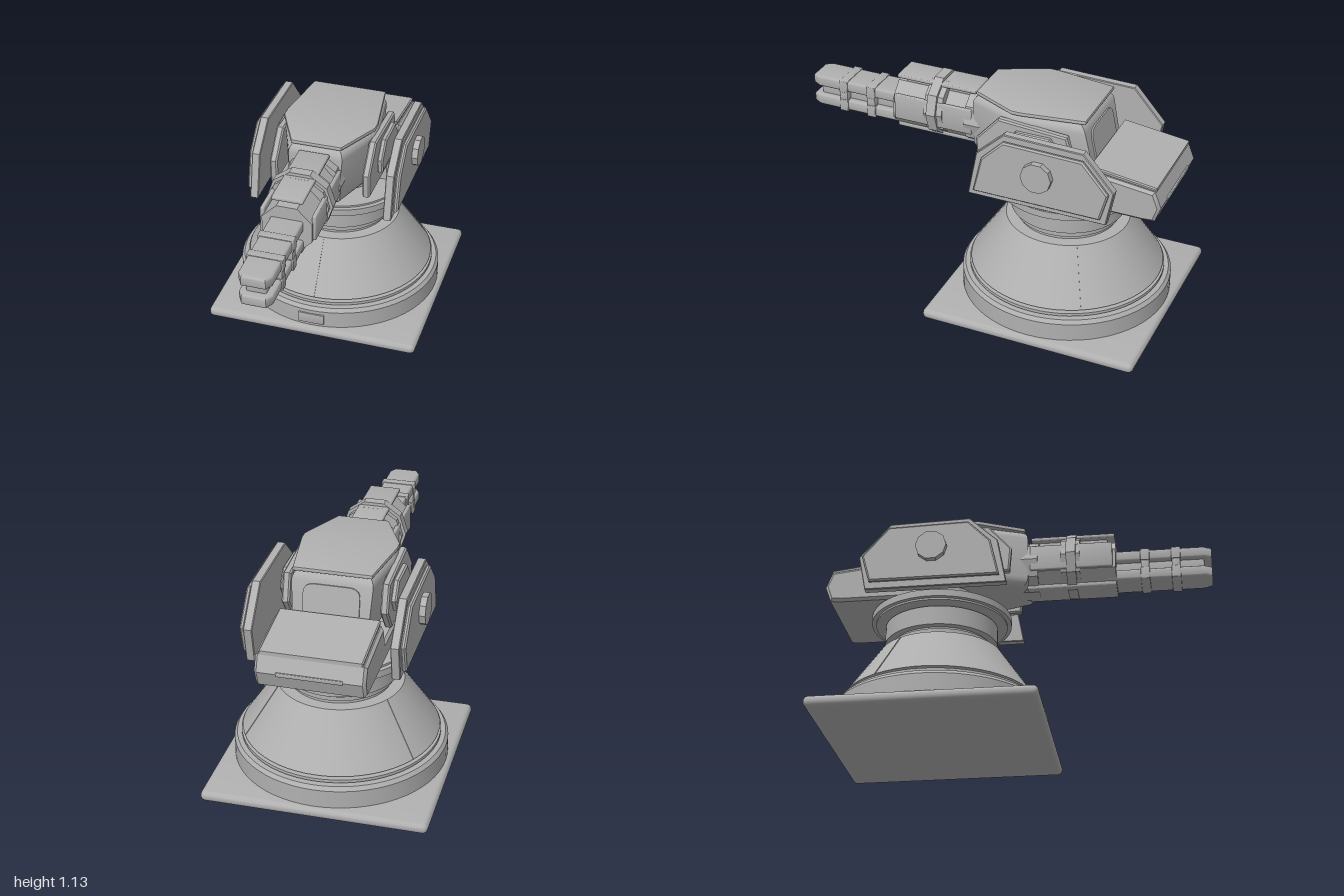
import * as THREE from 'three';
import { toCreasedNormals } from 'three/addons/utils/BufferGeometryUtils.js';
import { RoundedBoxGeometry } from 'three/addons/geometries/RoundedBoxGeometry.js';

const AXIS_Z = -0.42; // turning axis of the turret

export function createModel() {
  const model = new THREE.Group();
  model.name = 'turret';
  const steel = new THREE.MeshStandardMaterial({ color: 0xb0b0b0 });
  steel.name = 'steel grey';

  const add = (name, geometry) => {
    const mesh = new THREE.Mesh(toCreasedNormals(geometry, 0.6), steel);
    mesh.name = name;
    model.add(mesh);
    return mesh;
  };
  // box given by its limits on each axis
  const block = (name, [x0, x1], [y0, y1], [z0, z1], r = 0.008) => add(name,
    new RoundedBoxGeometry(x1 - x0, y1 - y0, z1 - z0, 2, r)
      .translate((x0 + x1) / 2, (y0 + y1) / 2, (z0 + z1) / 2));
  const prism = (points, depth, bevel, segments = 1) => new THREE.ExtrudeGeometry(
    new THREE.Shape(points.map(([a, b]) => new THREE.Vector2(a, b))), {
      depth: depth - 2 * bevel, bevelEnabled: bevel > 0, bevelSize: bevel,
      bevelThickness: bevel, bevelOffset: -bevel, bevelSegments: segments,
    }).translate(0, 0, bevel);
  // side outline of [z, y] points, thick along x
  const sidePlate = (name, points, x0, x1, bevel = 0.006) =>
    add(name, prism(points, x1 - x0, bevel).rotateY(-Math.PI / 2).translate(x1, 0, 0));
  // plan outline of [x, z] points (right half mirrored), thick along y
  const planGeometry = (half, y0, y1, bevel, segments) => {
    const outline = [...half, ...half.map(([x, z]) => [-x, z]).reverse()];
    return prism(outline, y1 - y0, bevel, segments).rotateX(Math.PI / 2).translate(0, y1, 0);
  };
  const lathe = (name, profile) => add(name, new THREE.LatheGeometry(
    profile.map(([r, y]) => new THREE.Vector2(r, y)), 64).translate(0, 0, AXIS_Z));
  // barrel-aligned polygonal tube section
  const drum = (name, r, y, z0, z1, sides) => add(name,
    new THREE.CylinderGeometry(r, r, z1 - z0, sides)
      .rotateY(Math.PI / sides).rotateX(Math.PI / 2).translate(0, y, (z0 + z1) / 2));

  // Pedestal
  block('basePlate', [-0.57, 0.57], [0, 0.055], [-0.99, 0.15], 0.026);
  lathe('basePedestal', [
    [0, 0.05], [0.542, 0.05], [0.542, 0.15], [0.528, 0.17], [0.45, 0.17], [0.45, 0.176],
    [0.505, 0.176], [0.505, 0.192], [0.43, 0.192], [0.43, 0.207], [0.498, 0.207],
    [0.318, 0.472], [0.257, 0.472], [0.257, 0.492], [0.27, 0.492], [0.27, 0.513],
    [0.255, 0.513], [0.255, 0.528], [0.293, 0.528], [0.293, 0.628], [0.2, 0.628],
    [0.2, 0.66], [0, 0.66]]);
  lathe('turntable', [
    [0, 0.64], [0.343, 0.64], [0.343, 0.65], [0.365, 0.65], [0.365, 0.687],
    [0.342, 0.687], [0.342, 0.697], [0, 0.697]]);
  block('baseHatch', [-0.07, 0.07], [0.07, 0.13], [0.11, 0.128], 0.003);
  // seams running down the cone
  for (let i = 0; i < 3; i++) {
    const seam = new THREE.BoxGeometry(0.006, 0.318, 0.004)
      .rotateX(-Math.atan2(0.18, 0.265)).translate(0, 0.34, 0.4085)
      .rotateY(i * Math.PI * 2 / 3).translate(0, 0, AXIS_Z);
    add('coneSeam', seam);
  }

  // Head: rounded wedge with a leaning rear face
  const head = planGeometry([[0.2, -0.63], [0.238, -0.3], [0.238, -0.2], [0.14, 0.05]], 0.795, 1.115, 0.05, 5);
  const p = head.attributes.position;
  for (let i = 0; i < p.count; i++) {
    const t = (p.getY(i) - 0.795) / 0.32;
    if (p.getZ(i) < -0.4) p.setZ(i, p.getZ(i) + 0.07 * t);
    p.setX(i, p.getX(i) * (0.9 + 0.1 * Math.min(1, t * 2)));
  }
  head.computeVertexNormals();
  add('head', head);
  add('roofPlate', planGeometry([[0.195, -0.57], [0.243, -0.25], [0.243, -0.2], [0.13, 0.035]], 1.111, 1.134, 0.009, 2));
  lathe('headPivot', [[0.19, 0.69], [0.19, 0.82]]);

  // Arched panel on the rear of the head
  const arch = new THREE.Shape();
  arch.moveTo(-0.14, -0.12).lineTo(0.14, -0.12).lineTo(0.14, 0.05)
    .quadraticCurveTo(0.14, 0.1, 0.08, 0.1).lineTo(-0.08, 0.1)
    .quadraticCurveTo(-0.14, 0.1, -0.14, 0.05);
  const rearPanel = add('rearPanel', new THREE.ExtrudeGeometry(arch, { depth: 0.012, bevelEnabled: false }));
  rearPanel.rotation.set(-0.21, Math.PI, 0, 'YXZ');
  rearPanel.position.set(0, 0.96, -0.59);

  // Counterweight behind the head
  sidePlate('counterweight', [
    [-0.4, 0.7], [-0.4, 0.8], [-0.6, 0.8], [-0.63, 0.905], [-0.955, 0.868],
    [-0.988, 0.785], [-0.96, 0.705], [-0.9, 0.7]], -0.268, 0.268, 0.014);
  sidePlate('counterweightLid', [
    [-0.62, 0.905], [-0.62, 0.928], [-0.96, 0.885], [-0.96, 0.865]], -0.25, 0.25, 0.006);
  block('rearSlot', [-0.16, 0.16], [0.775, 0.795], [-0.992, -0.975], 0.003);

  // Armour, hub and cheek plates on both sides
  const armour = [[-0.03, 0.7], [-0.075, 0.94], [-0.22, 1.075], [-0.63, 1.065], [-0.79, 0.885], [-0.755, 0.7]];
  const outer = [[-0.065, 0.735], [-0.11, 0.93], [-0.225, 1.045], [-0.635, 1.035], [-0.77, 0.88], [-0.73, 0.735]];
  const cheek = [[-0.03, 0.82], [-0.02, 0.95], [-0.14, 1.085], [-0.5, 1.06], [-0.54, 0.92], [-0.45, 0.8]];
  const cheekPad = [[-0.18, 0.885], [-0.17, 0.96], [-0.24, 1.045], [-0.42, 1.045], [-0.48, 0.96], [-0.43, 0.885]];
  for (const side of [-1, 1]) {
    const span = (a, b) => side > 0 ? [a, b] : [-b, -a];
    sidePlate('armourPlate', armour, ...span(0.335, 0.379), 0.004);
    sidePlate('armourOuterPlate', outer, ...span(0.378, 0.404), 0.008);
    sidePlate('cheekPlate', cheek, ...span(0.225, 0.265), 0.008);
    sidePlate('cheekPad', cheekPad, ...span(0.26, 0.292), 0.008);
    add('hub', new THREE.CylinderGeometry(0.08, 0.08, 0.034, 10).rotateZ(Math.PI / 2)
      .translate(side * 0.418, 0.905, -0.41));
  }

  // Barrel sleeve with cover plates and clamp
  drum('sleeve', 0.137, 0.93, 0.0, 0.505, 8);
  drum('sleeveCollar', 0.15, 0.94, 0.0, 0.1, 10);
  drum('clampBand', 0.155, 0.955, 0.22, 0.32, 10);
  drum('clampRib', 0.17, 0.957, 0.25, 0.3, 10);
  block('sleeveTopPlate', [-0.08, 0.08], [1.08, 1.102], [0.06, 0.5]);
  block('sleeveTopSpacer', [-0.05, 0.05], [1.04, 1.085], [0.1, 0.46]);
  block('sleeveBottomPlate', [-0.077, 0.077], [0.8, 0.825], [0.04, 0.505]);
  for (const side of [-1, 1])
    block('sleeveSidePlate', [side * 0.131 - 0.011, side * 0.131 + 0.011], [0.88, 1.02], [0.06, 0.49]);

  // Twin-rail barrel with tapered tips
  const railPlan = [[0.083, 0.45], [0.083, 0.96], [0.06, 1.0]];
  for (const [name, y0, y1] of [['upperRail', 0.932, 0.99], ['lowerRail', 0.825, 0.882]]) {
    add(name, planGeometry(railPlan, y0, y1, 0.012, 3));
    for (const z of [0.655, 0.815])
      block('railBand', [-0.09, 0.09], [y0 - 0.004, y1 + 0.004], [z - 0.024, z + 0.024], 0.004);
  }
  block('barrelCore', [-0.05, 0.05], [0.875, 0.94], [0.45, 0.96]);
  for (const z of [0.655, 0.815])
    block('railCollar', [-0.086, 0.086], [0.87, 0.945], [z - 0.022, z + 0.022], 0.003);

  return model;
}
